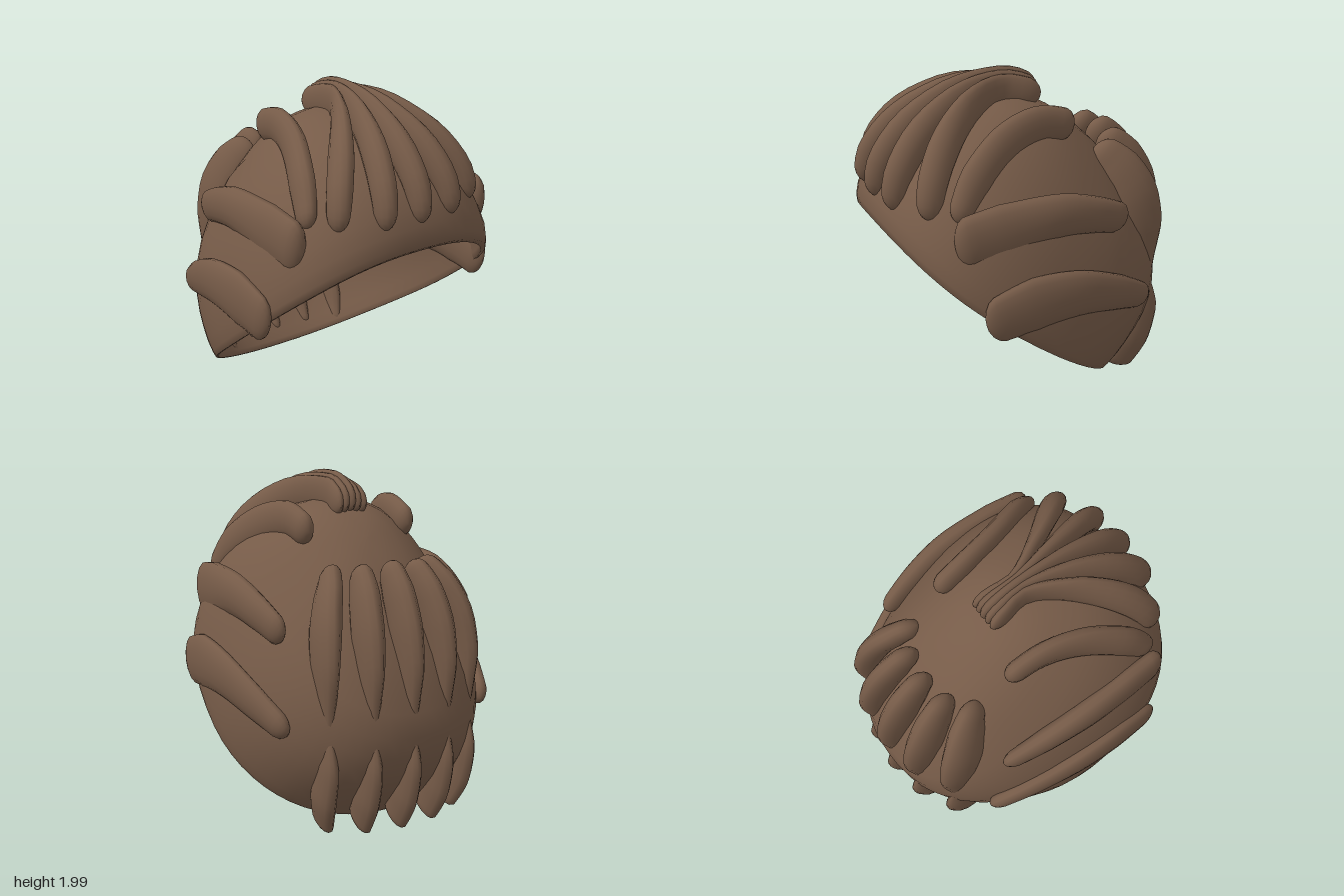
import * as THREE from 'three';

const V = (x, y, z) => new THREE.Vector3(x, y, z);
const X = V(1, 0, 0);

// Skin a list of rings (equal point counts) into a smooth closed surface
function loft(rings) {
  const m = rings[0].length, pos = [], idx = [];
  rings.forEach(r => r.forEach(p => pos.push(p.x, p.y, p.z)));
  for (let i = 0; i < rings.length - 1; i++) {
    for (let j = 0; j < m; j++) {
      const a = i * m + j, b = i * m + (j + 1) % m;
      idx.push(a, b, a + m, b, b + m, a + m);
    }
  }
  const g = new THREE.BufferGeometry();
  g.setAttribute('position', new THREE.Float32BufferAttribute(pos, 3));
  g.setIndex(idx);
  g.computeVertexNormals();
  return g;
}

// Linear interpolation through evenly spaced values
function along(list, u) {
  const f = Math.min(u * (list.length - 1), list.length - 1.0001), i = Math.floor(f);
  return THREE.MathUtils.lerp(list[i], list[i + 1], f - i);
}

// Tapered lock of hair: across = half sizes along x, high = half sizes in the yz plane
function lock(points, across, high) {
  const curve = new THREE.CatmullRomCurve3(points.map(p => V(...p)), false, 'centripetal');
  const rings = [], N = 24, M = 14, END = 0.075;
  for (let k = 0; k <= N; k++) {
    const u = 0.5 - 0.5 * Math.cos(Math.PI * k / N);
    const c = curve.getPointAt(u), t = curve.getTangentAt(u);
    const e = Math.min(1, Math.min(u, 1 - u) / END);
    const round = Math.sqrt(Math.max(0, 1 - (1 - e) ** 2));
    const a = X.clone().addScaledVector(t, -t.x).normalize();
    const b = t.clone().cross(a);
    const ra = along(across, u) * round, rb = along(high, u) * round;
    rings.push(Array.from({ length: M }, (_, j) => {
      const q = j / M * Math.PI * 2;
      return c.clone().addScaledVector(a, ra * Math.cos(q)).addScaledVector(b, rb * Math.sin(q));
    }));
  }
  return loft(rings);
}

// Tilted hollow cap, lofted in rings parallel to its sloping rim
function capGeometry() {
  const T = V(0, 0.636, 0.772), U = V(0, 0.772, -0.636), C = V(0, 0.61, 0.19);
  const M = 56;
  const ring = (n, back, front, w) => {
    const mid = (back + front) / 2;
    return Array.from({ length: M }, (_, j) => {
      const q = j / M * Math.PI * 2, s = Math.sin(q), c = Math.cos(q);
      const p = 2 / (s > 0 ? 2.4 : 2.28);
      const x = w * Math.sign(c) * Math.abs(c) ** p;
      const t = mid + (front - back) / 2 * Math.sign(s) * Math.abs(s) ** p;
      // the rim dips in front of the ears
      const dip = 0.07 * c * c * (0.6 + 0.6 * s) * Math.max(0, 1 - n / 0.4);
      return C.clone().addScaledVector(X, x).addScaledVector(T, t).addScaledVector(U, n - dip);
    });
  };
  // height above rim, back reach, front reach, half width
  const rows = [
    [1.13, 0.27, 0.27, 0], [1.127, 0.15, 0.37, 0.09], [1.105, -0.03, 0.49, 0.2],
    [1.05, -0.23, 0.63, 0.32], [0.95, -0.5, 0.76, 0.45], [0.8, -0.75, 0.88, 0.58],
    [0.7, -0.85, 0.94, 0.65], [0.6, -0.913, 0.985, 0.705], [0.5, -0.95, 1.01, 0.75],
    [0.4, -0.967, 1.025, 0.785], [0.3, -0.968, 1.03, 0.812], [0.2, -0.96, 1.02, 0.83],
    [0.1, -0.948, 0.995, 0.838], [0.03, -0.935, 0.955, 0.833]];
  const inner = rows.map(([n, b, f, w], i) => i === 0 ? [n - 0.03, b, f, 0]
    : [n - 0.03 * Math.min(1, n * 1.5), Math.min(b + 0.03, 0.25), Math.max(f - 0.05, 0.29), Math.max(w - 0.03, 0.02)]);
  const rim = [[-0.005, -0.925, 0.92, 0.823], [-0.005, -0.91, 0.88, 0.808]];
  return loft([...rows, ...rim, ...inner.reverse()].map(r => ring(...r)));
}

export function createModel() {
  const group = new THREE.Group();
  const hair = new THREE.MeshStandardMaterial({ color: 0x765b48 });
  hair.name = 'brownHair';
  const add = (name, geometry) => {
    const mesh = new THREE.Mesh(geometry, hair);
    mesh.name = name;
    group.add(mesh);
  };

  add('cap', capGeometry());

  // Front fan: five locks gathered on the crown, tails tucked behind
  const fan = [[0, 1.33, 0.87], [0.235, 1.33, 0.85], [0.47, 1.335, 0.73]];
  for (let i = -2; i <= 2; i++) {
    const k = Math.abs(i), s = Math.sign(i), [ex, ey, ez] = fan[k];
    const zf = f => 0.1 + (ez - 0.1) * f;
    add('frontLock', lock([
      [s * ex, ey, ez],
      [s * ex * 0.92, 1.52 - k * 0.005, zf(0.95)],
      [s * ex * 0.68, 1.72 - k * 0.005, zf(0.73)],
      [s * ex * 0.38, 1.855 - k * 0.01, zf(0.4)],
      [i * 0.026, 1.89 - k * 0.018, 0.1],
      [i * 0.034, 1.87 - k * 0.015, -0.04],
      [i * 0.041, 1.81, -0.15]],
    [0.05, 0.068, 0.068, 0.055, 0.04, 0.036, 0.036],
    [0.07, 0.09, 0.1, 0.1, 0.11, 0.11, 0.08]));
  }

  // Side locks, three on each side
  const sides = [
    ['upperSideLock', [[0.585, 1.35, 0.62], [0.51, 1.55, 0.46], [0.405, 1.69, 0.22], [0.35, 1.735, 0], [0.33, 1.69, -0.235]],
      [0.05, 0.065, 0.065, 0.06, 0.055], [0.07, 0.11, 0.12, 0.115, 0.095]],
    ['middleSideLock', [[0.65, 1.225, 0.66], [0.67, 1.275, 0.35], [0.675, 1.305, 0.05], [0.65, 1.255, -0.2], [0.605, 1.165, -0.45]],
      [0.065, 0.075, 0.075, 0.065, 0.045], [0.17, 0.175, 0.14, 0.115, 0.09]],
    ['lowerSideLock', [[0.8, 0.8, 0.55], [0.812, 0.865, 0.25], [0.8, 0.86, 0], [0.74, 0.77, -0.3], [0.65, 0.64, -0.59]],
      [0.045, 0.057, 0.06, 0.058, 0.05], [0.14, 0.17, 0.145, 0.115, 0.075]]];
  for (const s of [1, -1]) {
    for (const [name, path, across, high] of sides) {
      add(name, lock(path.map(([x, y, z]) => [s * x, y, z]), across, high));
    }
  }

  // Back locks: an upper and a lower row of five, tapering towards each other
  // and deep enough to show inside the cap
  const xTop = [0, 0.165, 0.285], xLow = [0, 0.235, 0.455], zIn = [0, 0.03, 0.14];
  for (let i = -2; i <= 2; i++) {
    const k = Math.abs(i), s = Math.sign(i), d = zIn[k];
    const x = f => s * THREE.MathUtils.lerp(xTop[k], xLow[k], f);
    add('upperBackLock', lock([
      [x(0), 1.54 - k * 0.015, -0.55 + d], [x(0.35), 1.44 - k * 0.01, -0.645 + d],
      [x(0.78), 1.25, -0.745 + d], [x(0.97), 1.05, -0.795 + d],
      [x(1), 0.84, -0.82 + d], [x(1), 0.6, -0.825 + d]],
    [0.055, 0.073, 0.073, 0.06, 0.042, 0.02],
    [0.09, 0.14, 0.155, 0.145, 0.085, 0.05]));
    const low = s * [0, 0.22, 0.41][k];
    add('lowerBackLock', lock([
      [x(1), 0.66, -0.825 + d], [x(1), 0.42, -0.825 + d],
      [x(0.97), 0.22, -0.765 + d], [low, 0.03, -0.66 + d * 0.85]],
    [0.02, 0.05, 0.058, 0.045], [0.05, 0.115, 0.13, 0.11]));
  }
  return group;
}
